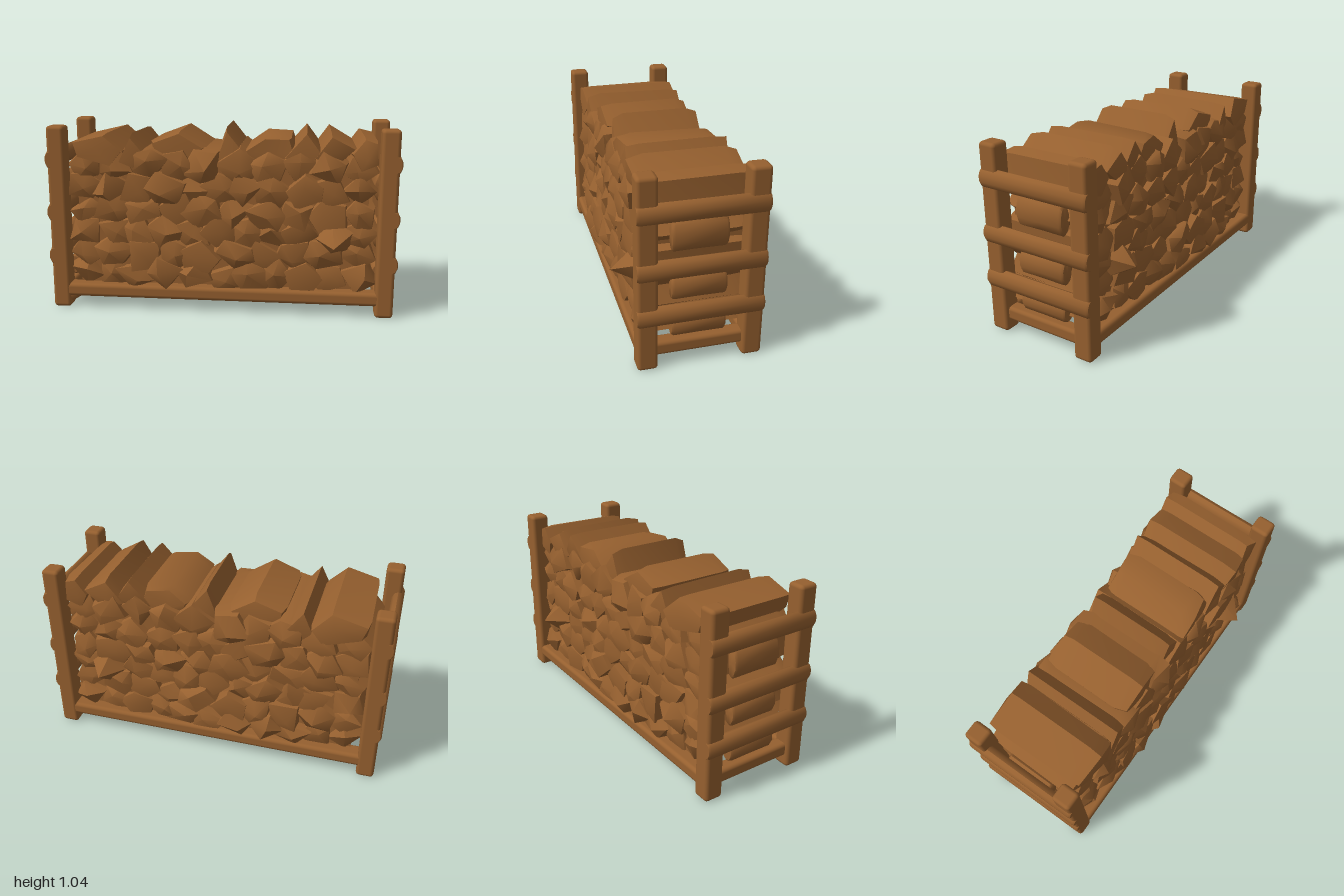
import * as THREE from 'three';
import { mergeGeometries, toCreasedNormals } from 'three/addons/utils/BufferGeometryUtils.js';
import { RoundedBoxGeometry } from 'three/addons/geometries/RoundedBoxGeometry.js';

const wood = new THREE.MeshStandardMaterial({ color: 0x96602f });
wood.name = 'brown wood';

// Small seeded random in [-1, 1]
let seed = 7;
function rnd() {
  seed = (seed * 16807) % 2147483647;
  return (seed / 2147483647) * 2 - 1;
}

function add(parent, name, geometry) {
  const mesh = new THREE.Mesh(geometry, wood);
  mesh.name = name;
  parent.add(mesh);
  return mesh;
}

// Split log: outline (counter-clockwise from the front) swept along z,
// tapering a little to uneven, bluntly pointed ends
function logGeometry(outline, half, tip, rough = 0.015) {
  const n = outline.length;
  const cx = outline.reduce((s, p) => s + p[0], 0) / n;
  const cy = outline.reduce((s, p) => s + p[1], 0) / n;
  const pos = [];
  const rings = [[-half, 0.88], [-half * 0.75, 1], [half * 0.75, 1], [half, 0.88]];
  rings.forEach(([z, s], r) => {
    const end = r === 0 || r === 3;
    for (const [x, y] of outline) {
      const k = s + rnd() * 0.06;
      pos.push(cx + (x - cx) * k, cy + (y - cy) * k, z + (end ? rnd() * rough : 0));
    }
  });
  for (const side of [-1, 1]) pos.push(cx + rnd() * 0.03, cy + rnd() * 0.03, side * (half + tip));
  const index = [];
  for (let i = 0; i < n; i++) {
    const j = (i + 1) % n;
    for (let r = 0; r < 3; r++) {
      const a = r * n, b = a + n;
      index.push(a + i, a + j, b + j, a + i, b + j, b + i);
    }
    index.push(4 * n, j, i, 4 * n + 1, 3 * n + i, 3 * n + j);
  }
  const g = new THREE.BufferGeometry();
  g.setAttribute('position', new THREE.Float32BufferAttribute(pos, 3));
  g.setIndex(index);
  return toCreasedNormals(g, 0.8);
}

// Irregular outline with four or five corners
function chunk(x, y, r) {
  const n = rnd() > 0 ? 5 : 4;
  const turn = rnd() * Math.PI;
  return Array.from({ length: n }, (_, i) => {
    const a = turn + ((i + rnd() * 0.2) / n) * Math.PI * 2;
    const k = r * (1 + rnd() * 0.15);
    return [x + Math.cos(a) * k * 1.12, Math.max(0.115, y + Math.sin(a) * k * 0.95)];
  });
}

// Round pole along z, flattened to the given width, with softly bevelled ends
function pole(width, height, length) {
  const h = length / 2;
  const profile = [[0, -h], [0.42, -h], [0.5, 0.012 - h], [0.49, 0],
    [0.5, h - 0.012], [0.42, h], [0, h]].map(([x, y]) => new THREE.Vector2(x, y));
  const g = new THREE.LatheGeometry(profile, 10).rotateX(Math.PI / 2).scale(width, height, 1);
  return toCreasedNormals(g, 0.9);
}

export function createModel() {
  const model = new THREE.Group();
  model.name = 'firewoodRack';
  const frame = new THREE.Group();
  frame.name = 'frame';
  const stack = new THREE.Group();
  stack.name = 'logStack';
  model.add(frame, stack);

  // Squared corner posts with worn edges
  for (const sx of [-1, 1]) for (const sz of [-1, 1]) {
    const post = add(frame, 'cornerPost', new RoundedBoxGeometry(0.1, 1.04, 0.106, 2, 0.02));
    post.position.set(sx * 0.91, 0.52, sz * 0.272);
  }

  for (const sx of [-1, 1]) {
    // Three flattened rails at each end
    for (const y of [0.853, 0.555, 0.303]) {
      add(frame, 'endRail', pole(0.07, 0.108, 0.65)).position.set(sx * 0.941, y, 0);
    }
    // Short logs wedged between the posts, behind the rails
    for (const [y, height] of [[0.2, 0.12], [0.42, 0.14], [0.7, 0.17]]) {
      add(stack, 'endLog', pole(0.08, height, 0.28)).position.set(sx * 0.885, y, 0);
    }
    // Low crossbar
    const bar = new RoundedBoxGeometry(0.08, 0.076, 0.5, 2, 0.02);
    add(frame, 'endCrossbar', bar).position.set(sx * 0.9, 0.103, 0);
  }

  // Long bottom rails
  for (const sz of [-1, 1]) {
    const rail = new RoundedBoxGeometry(1.8, 0.076, 0.1, 2, 0.022);
    add(frame, 'bottomRail', rail).position.set(0, 0.102, sz * 0.272);
  }

  // Splayed foot where the front rail meets a post
  const foot = new THREE.CylinderGeometry(0.03, 0.045, 0.15, 7);
  const brace = add(frame, 'footBrace', toCreasedNormals(foot, 0.9));
  brace.position.set(-0.84, 0.078, 0.272);
  brace.rotation.z = -1.1;

  // Hidden inner logs that fill the heart of the stack
  const core = new THREE.BoxGeometry(1.62, 0.7, 0.5);
  add(stack, 'innerLogs', core).position.set(0, 0.48, 0);

  // Staggered rows of split logs, with a swell low in the middle
  for (let row = 0; row < 6; row++) {
    const y = 0.2 + row * 0.124;
    const count = row % 2 ? 10 : 11;
    const logs = [];
    for (let i = 0; i < count; i++) {
      const edge = i === 0 || i === count - 1;
      const x = -0.765 + (i * 1.53) / (count - 1) + (edge ? 0 : rnd() * 0.02);
      const swell = row < 2 && x > -0.5 && x < 0.1 ? 0.028 : 0;
      const spike = row === 2 && i === count - 2;
      const half = (edge ? 0.268 : 0.282) + swell + rnd() * 0.012;
      logs.push(logGeometry(chunk(x, y + rnd() * 0.015, edge ? 0.1 : 0.114), half, spike ? 0.115 : 0.035 + rnd() * 0.012));
    }
    add(stack, 'logRow', mergeGeometries(logs));
  }

  // Larger logs lying loose on top
  const top = [
    [[-0.82, 0.86], [-0.6, 0.81], [-0.53, 0.9], [-0.64, 1.0], [-0.84, 0.95]],
    [[-0.57, 0.84], [-0.46, 0.79], [-0.39, 0.86], [-0.5, 0.99]],
    [[-0.37, 0.84], [-0.15, 0.82], [-0.08, 0.92], [-0.23, 1.01], [-0.39, 0.95]],
    [[-0.04, 0.84], [0.08, 0.82], [0.14, 0.89], [0.03, 1.03]],
    [[0.15, 0.86], [0.3, 0.82], [0.42, 0.9], [0.39, 0.98], [0.24, 0.99], [0.13, 0.91]],
    [[0.34, 0.87], [0.46, 0.82], [0.56, 0.9], [0.47, 1.02]],
    [[0.5, 0.87], [0.62, 0.82], [0.74, 0.93], [0.6, 1.01]],
    [[0.71, 0.9], [0.76, 0.8], [0.86, 0.84], [0.85, 0.97], [0.78, 0.99]],
  ];
  const lengths = [0.29, 0.28, 0.25, 0.24, 0.25, 0.26, 0.28, 0.27];
  top.forEach((outline, i) => add(stack, 'topLog', logGeometry(outline, lengths[i], 0.015)));

  return model;
}
